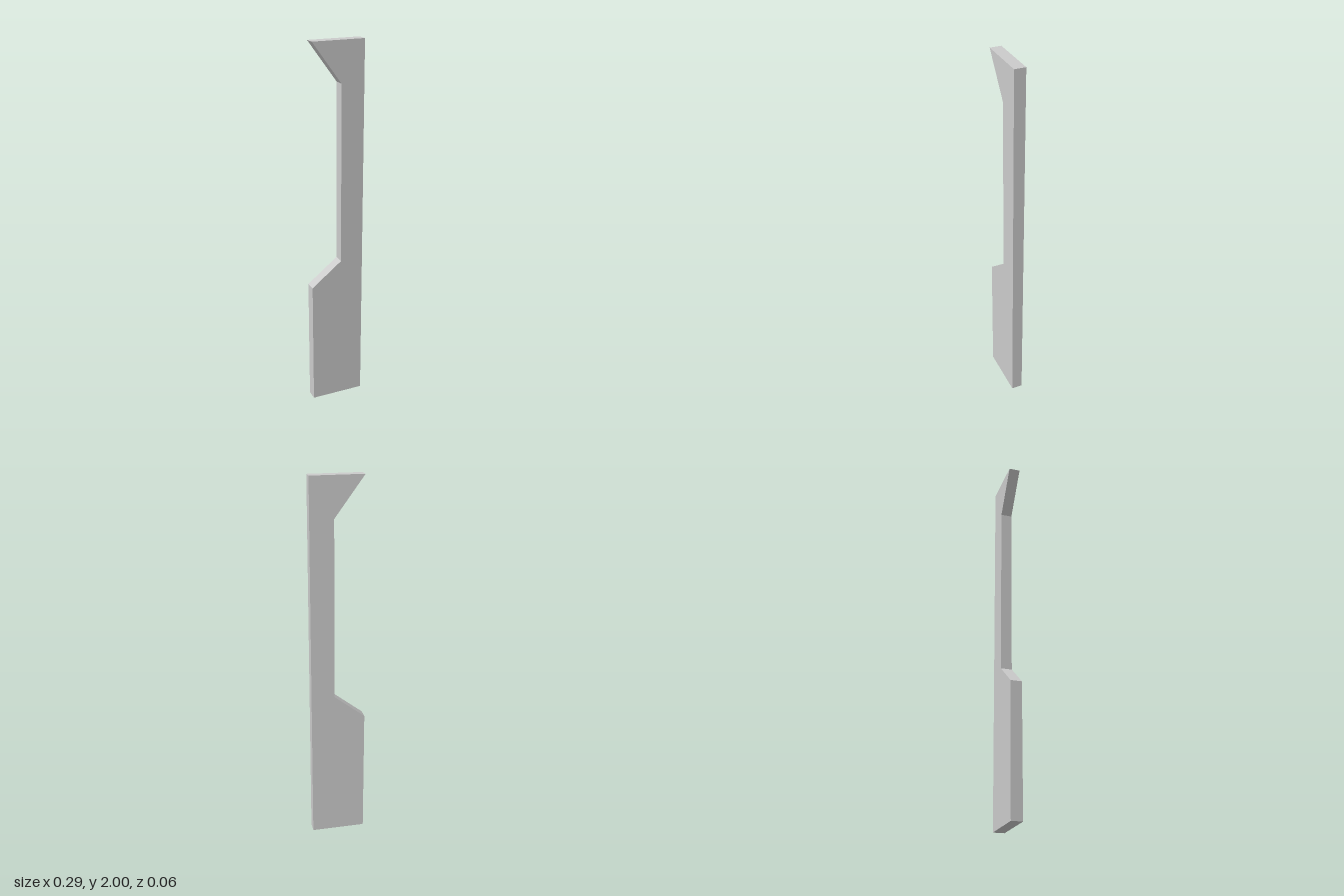
import * as THREE from 'three';

const DEPTH = 0.06;

export function createModel() {
  const group = new THREE.Group();
  group.name = 'notchedPanel';

  // Side outline: wide foot, slim upright, flared top
  const outline = [
    [-0.146, 0], [0.146, 0], [0.146, 2], [-0.135, 2],
    [0.021, 1.787], [0.021, 0.828], [-0.146, 0.698],
  ].map(([x, y]) => new THREE.Vector2(x, y));

  const geometry = new THREE.ExtrudeGeometry(new THREE.Shape(outline), {
    depth: DEPTH,
    bevelEnabled: false,
  });
  geometry.translate(0, 0, -DEPTH / 2);

  const material = new THREE.MeshStandardMaterial({ color: 0xcccccc, flatShading: true });
  const panel = new THREE.Mesh(geometry, material);
  panel.name = 'panel';
  group.add(panel);
  return group;
}
